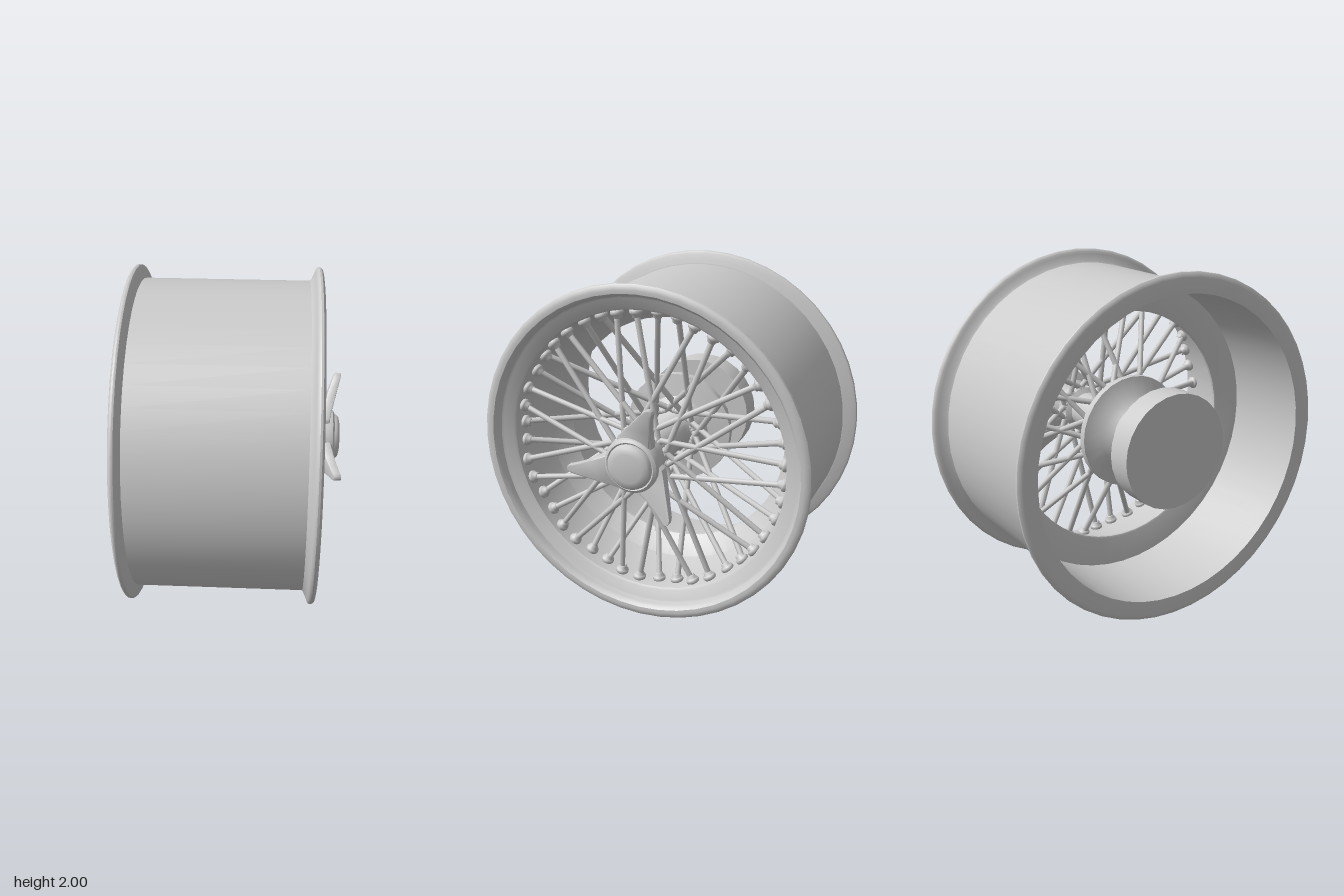
import * as THREE from 'three';
import { toCreasedNormals } from 'three/addons/utils/BufferGeometryUtils.js';

const grey = new THREE.MeshStandardMaterial({ color: 0xcccccc });
const UP = new THREE.Vector3(0, 1, 0);

function addMesh(parent, name, geometry) {
  const mesh = new THREE.Mesh(geometry, grey);
  mesh.name = name;
  parent.add(mesh);
  return mesh;
}

// Solid of revolution around the x axle; profile is [x, radius] pairs.
function turned(profile, sides) {
  const points = profile.map(([x, r]) => new THREE.Vector2(r, x));
  const geometry = new THREE.LatheGeometry(points, sides).rotateZ(-Math.PI / 2);
  geometry.deleteAttribute('normal');
  return toCreasedNormals(geometry, 0.6);
}

// Point on the wheel: x along the axle, radius and angle around it.
const polar = (x, r, a) => new THREE.Vector3(x, r * Math.cos(a), r * Math.sin(a));

export function createModel() {
  const model = new THREE.Group();
  const wheel = new THREE.Group();
  wheel.name = 'wheel';
  wheel.position.y = 1;
  model.add(wheel);

  // Rim: rolled flanges, straight barrel, inner spoke seat with a tapered ledge
  addMesh(wheel, 'rim', turned([
    [-0.61, 0.885], [-0.613, 0.97], [-0.608, 0.988], [-0.599, 0.998], [-0.59, 1.0], [-0.58, 0.996],
    [-0.573, 0.983], [-0.566, 0.95], [-0.558, 0.93], [-0.556, 0.92],
    [0.406, 0.92], [0.416, 0.932], [0.432, 0.97], [0.437, 0.985], [0.445, 0.996], [0.455, 1.0],
    [0.467, 0.997], [0.476, 0.985], [0.48, 0.965], [0.478, 0.945], [0.465, 0.932], [0.445, 0.926],
    [0.425, 0.922], [0.418, 0.91], [0.4, 0.855], [0.39, 0.842], [0.36, 0.837],
    [0.29, 0.832], [0.06, 0.8], [-0.04, 0.71], [-0.05, 0.7], [-0.065, 0.7], [-0.07, 0.71],
    [-0.07, 0.885], [-0.61, 0.885],
  ], 48));

  // Hub: rear drum, neck, rear spoke flange and slim front tube
  addMesh(wheel, 'hub', turned([
    [-0.59, 0], [-0.59, 0.335], [-0.44, 0.335], [-0.44, 0.185], [-0.24, 0.185],
    [-0.19, 0.23], [-0.16, 0.335], [-0.12, 0.335], [-0.1, 0.2], [-0.03, 0.13],
    [0.02, 0.11], [0.35, 0.11], [0.37, 0.14], [0.5, 0.14], [0.5, 0],
  ], 28));

  // Centre cap with a raised dome
  addMesh(wheel, 'centreCap', turned([
    [0.46, 0], [0.46, 0.14], [0.49, 0.163], [0.545, 0.165], [0.565, 0.158], [0.575, 0.142],
    [0.57, 0.134], [0.588, 0.13], [0.6, 0.118], [0.607, 0.085], [0.61, 0],
  ], 32));

  // Three swept wings of the knock-off nut, leaning outward toward their tips
  const outline = new THREE.Shape();
  outline.moveTo(-0.125, 0.06);
  outline.lineTo(-0.14, 0.115);
  outline.quadraticCurveTo(-0.09, 0.23, -0.032, 0.36);
  outline.quadraticCurveTo(-0.005, 0.4, 0.02, 0.37);
  outline.quadraticCurveTo(0.022, 0.27, 0.068, 0.17);
  outline.lineTo(0.085, 0.06);
  const wing = new THREE.ExtrudeGeometry(outline, {
    depth: 0.045, bevelEnabled: true, bevelThickness: 0.01, bevelSize: 0.008,
    bevelOffset: -0.008, bevelSegments: 2, curveSegments: 8,
  });
  const pos = wing.attributes.position;
  for (let i = 0; i < pos.count; i++) {
    const out = Math.max(0, pos.getY(i) - 0.13) / 0.26;
    pos.setZ(i, 0.49 + pos.getZ(i) * (1 - 0.35 * out) + 0.087 * out);
  }
  wing.rotateY(Math.PI / 2);
  wing.deleteAttribute('normal');
  const wingGeometry = toCreasedNormals(wing, 0.6);
  for (let i = 0; i < 3; i++) {
    addMesh(wheel, 'capWing', wingGeometry).rotation.x = -0.37 - i * Math.PI * 2 / 3;
  }

  // Spokes cross left and right, alternating between front and rear of the hub
  const spokes = new THREE.Group();
  spokes.name = 'spokes';
  wheel.add(spokes);
  const nipple = new THREE.LatheGeometry([
    [0.016, -0.045], [0.024, -0.04], [0.026, -0.024], [0.036, -0.02], [0.039, -0.01],
    [0.037, 0.002], [0.028, 0.01],
  ].map(([r, y]) => new THREE.Vector2(r, y)), 12);
  const headBall = new THREE.SphereGeometry(0.023, 8, 6);
  const count = 44;
  for (let i = 0; i < count; i++) {
    const angle = (i + 0.5) * Math.PI * 2 / count;
    const front = i % 4 < 2;
    const lean = (i % 2 ? 1 : -1) * (front ? 0.85 : 1.0);
    const outer = polar(front ? 0.34 : 0.31, 0.83, angle);
    const inner = polar(front ? 0.39 : -0.03, 0.135, angle + lean);
    const direction = outer.clone().sub(inner);
    const length = direction.length();
    direction.normalize();

    const rod = addMesh(spokes, 'spoke', new THREE.CylinderGeometry(0.017, 0.017, length, 8));
    rod.position.copy(outer).add(inner).multiplyScalar(0.5);
    rod.quaternion.setFromUnitVectors(UP, direction);

    // Nipples sit flat against the rim
    const seat = addMesh(spokes, 'spokeNipple', nipple);
    seat.position.copy(outer);
    seat.rotation.x = angle;

    addMesh(spokes, 'spokeHead', headBall).position.copy(inner);
  }
  return model;
}
